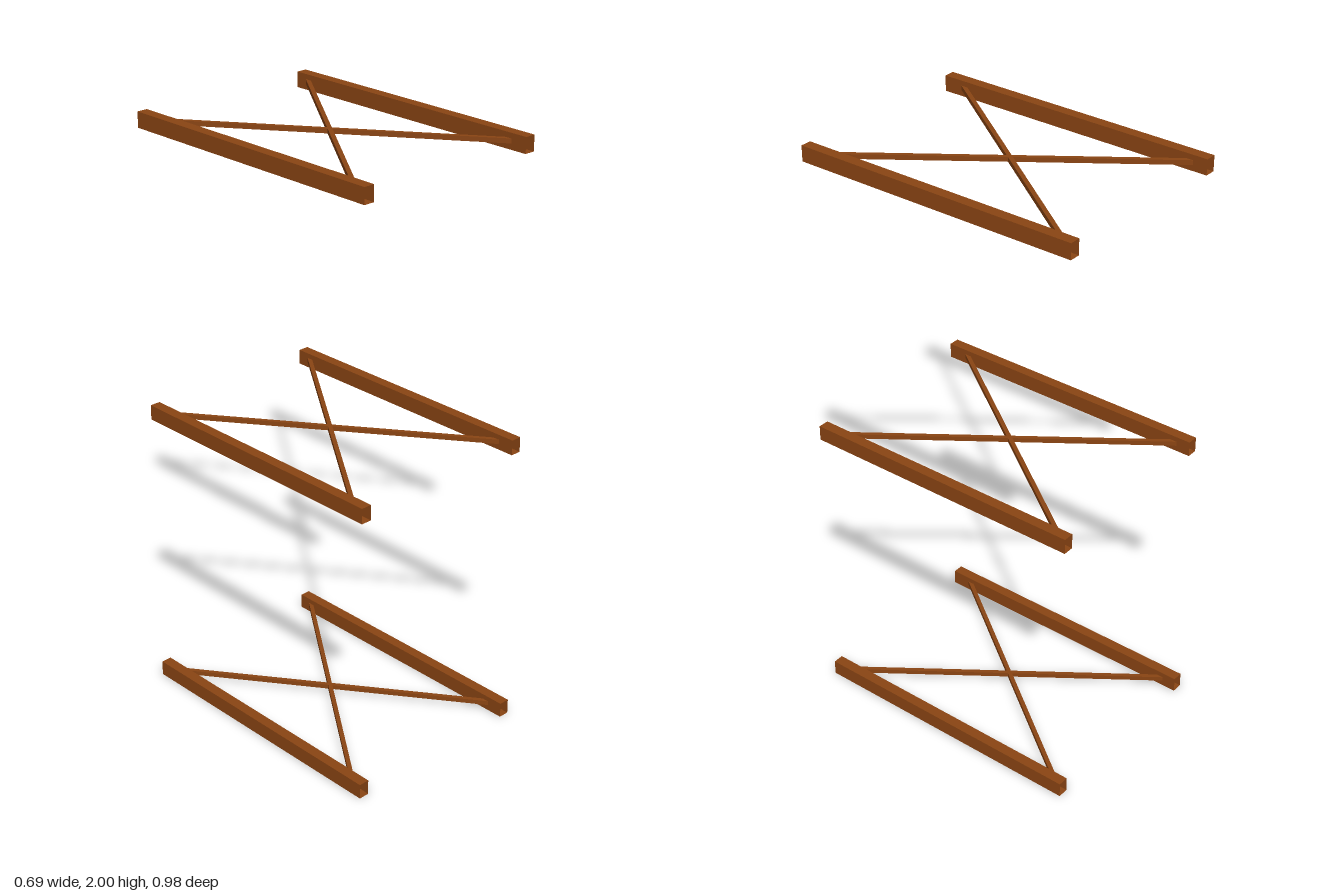
import * as THREE from 'three';

const wood = new THREE.MeshStandardMaterial({ color: 0x8b4513, side: THREE.DoubleSide });
wood.name = 'brown wood';

// Hollow rectangular beam along z, open at both ends
function beamGeometry(width, height, length) {
  const geo = new THREE.BoxGeometry(width, height, length);
  geo.setIndex(Array.from(geo.index.array.slice(0, 24))); // drop the two z caps
  geo.clearGroups();
  return geo;
}

export function createModel() {
  const model = new THREE.Group();
  model.name = 'crossBracedRails';

  const railGeo = beamGeometry(0.036, 0.051, 0.976);
  const braceGeo = beamGeometry(0.014, 0.015, 1.116);
  const braceAngle = Math.atan2(0.616, 0.848);

  // Three identical tiers stacked vertically
  [0.0255, 1, 1.9745].forEach((y, i) => {
    const tier = new THREE.Group();
    tier.name = `tier${i + 1}`;
    tier.position.y = y;

    for (const side of [1, -1]) {
      const label = side > 0 ? 'left' : 'right';

      // Long side rail
      const rail = new THREE.Mesh(railGeo, wood);
      rail.name = `${label}Rail`;
      rail.position.x = side * 0.326;

      // Diagonal brace whose ends sit inside the rails
      const brace = new THREE.Mesh(braceGeo, wood);
      brace.name = `${label}FrontBrace`;
      brace.position.set(-0.003, 0.001, -0.008);
      brace.rotation.y = side * braceAngle;

      tier.add(rail, brace);
    }
    model.add(tier);
  });

  return model;
}
